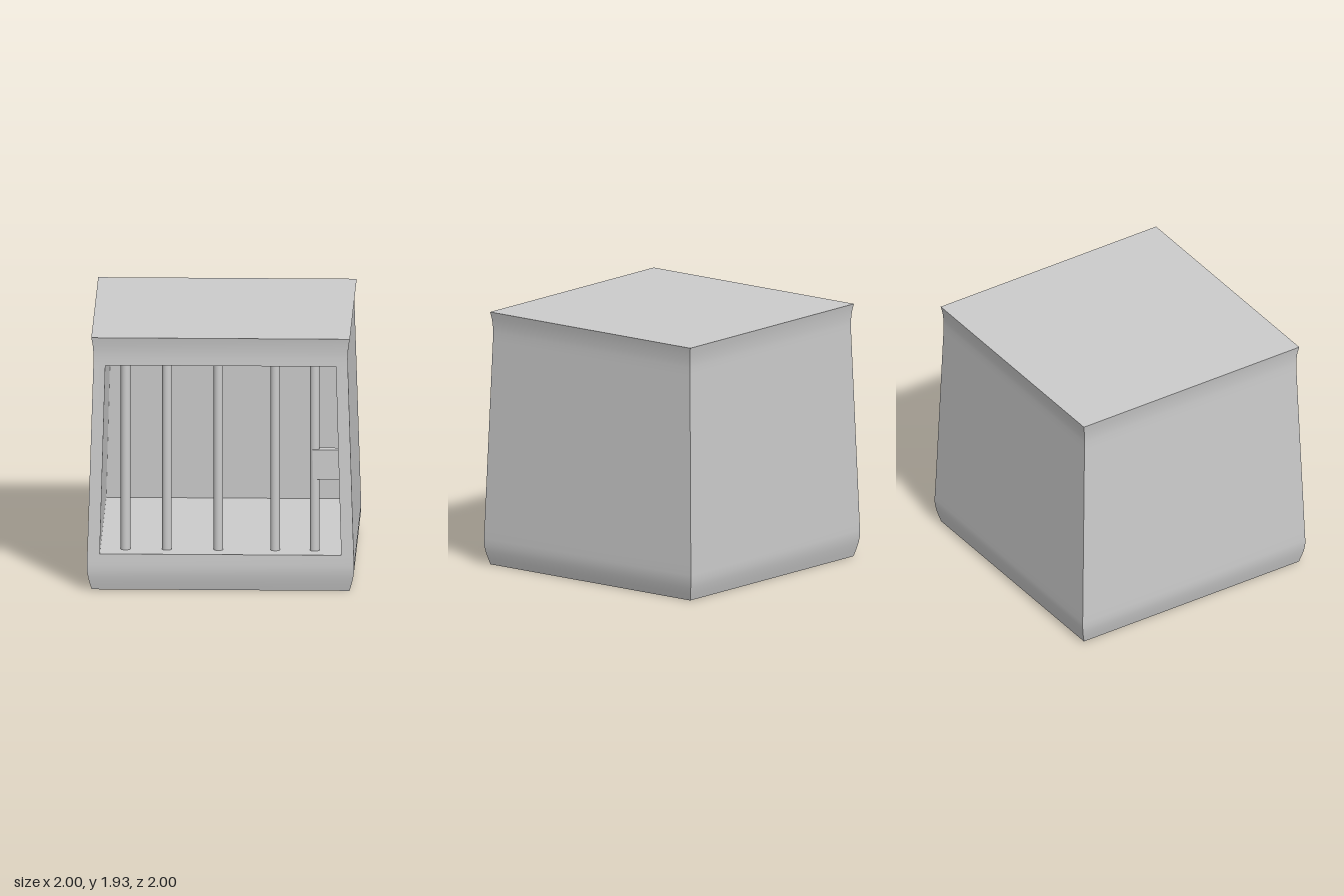
import * as THREE from 'three';

const material = new THREE.MeshStandardMaterial({ color: 0xcccccc });

// Half-width of the shell at each height [y, halfWidth]
const profile = [
  [0, 0.965], [0.05, 0.979], [0.1, 0.991], [0.15, 0.999], [0.2, 1.0], [0.28, 0.997],
  [1.0, 0.9745], [1.72, 0.952], [1.78, 0.951], [1.82, 0.952], [1.88, 0.957], [1.935, 0.967],
];
const TOP = 1.935;
const OPEN_BOTTOM = 0.28, OPEN_TOP = 1.72, OPEN_RATIO = 0.906;
const halfWidth = (y) => {
  const i = Math.max(1, profile.findIndex((p) => p[0] >= y));
  const [y0, w0] = profile[i - 1], [y1, w1] = profile[i];
  return w0 + (w1 - w0) * (y - y0) / (y1 - y0);
};

// One curved wall facing +z, optionally with the barred opening left out
function wallGeometry(open) {
  const columns = [-1, -OPEN_RATIO, OPEN_RATIO, 1];
  const positions = [], index = [];
  for (const [y, w] of profile) for (const u of columns) positions.push(u * w, y, w);
  for (let r = 0; r < profile.length - 1; r++) {
    const inOpening = profile[r][0] >= OPEN_BOTTOM && profile[r + 1][0] <= OPEN_TOP;
    for (let c = 0; c < 3; c++) {
      if (open && c === 1 && inOpening) continue;
      const a = r * 4 + c;
      index.push(a, a + 1, a + 5, a, a + 5, a + 4);
    }
  }
  const g = new THREE.BufferGeometry();
  g.setAttribute('position', new THREE.Float32BufferAttribute(positions, 3));
  g.setIndex(index);
  g.computeVertexNormals();
  return g;
}

// Tapered room behind the opening: a box without its front, turned inside out
function cavityGeometry() {
  const g = new THREE.BoxGeometry(2, 2, 2);
  const p = g.attributes.position;
  for (let i = 0; i < p.count; i++) {
    const y = p.getY(i) < 0 ? OPEN_BOTTOM : OPEN_TOP;
    const w = halfWidth(y);
    const backZ = 0.185 - w;
    p.setXYZ(i, p.getX(i) * w * OPEN_RATIO, y, p.getZ(i) > 0 ? w : backZ);
  }
  const keep = Array.from(g.index.array).filter((_, i) => i < 24 || i >= 30);
  g.setIndex(keep.reverse());
  g.clearGroups();
  g.computeVertexNormals();
  return g;
}

export function createModel() {
  const group = new THREE.Group();
  const add = (name, geometry, x = 0, y = 0, z = 0) => {
    const mesh = new THREE.Mesh(geometry, material);
    mesh.name = name;
    mesh.position.set(x, y, z);
    group.add(mesh);
    return mesh;
  };

  // Outer walls
  ['frontWall', 'leftWall', 'backWall', 'rightWall'].forEach((name, i) => {
    add(name, wallGeometry(i === 0)).rotation.y = i * Math.PI / 2;
  });

  // Roof and base
  const roofSize = 2 * halfWidth(TOP), baseSize = 2 * halfWidth(0);
  add('roof', new THREE.PlaneGeometry(roofSize, roofSize), 0, TOP).rotation.x = -Math.PI / 2;
  add('base', new THREE.PlaneGeometry(baseSize, baseSize)).rotation.x = Math.PI / 2;

  add('interior', cavityGeometry());

  // Bars
  const barHeight = OPEN_TOP - OPEN_BOTTOM;
  for (const x of [-0.715, -0.405, -0.02, 0.405, 0.7]) {
    add('bar', new THREE.CylinderGeometry(0.036, 0.036, barHeight, 24, 1, true),
      x, OPEN_BOTTOM + barHeight / 2, 0.83);
  }

  // Lock plate, leaning with the side of the opening, and its keyhole
  const plate = new THREE.BoxGeometry(0.2, 0.23, 0.07);
  const p = plate.attributes.position;
  for (let i = 0; i < p.count; i++) p.setX(i, p.getX(i) - p.getY(i) * 0.028);
  plate.computeVertexNormals();
  add('lockPlate', plate, 0.788, 0.945, 0.835);
  add('keyhole', new THREE.BoxGeometry(0.008, 0.07, 0.006), 0.775, 0.945, 0.871);

  return group;
}
